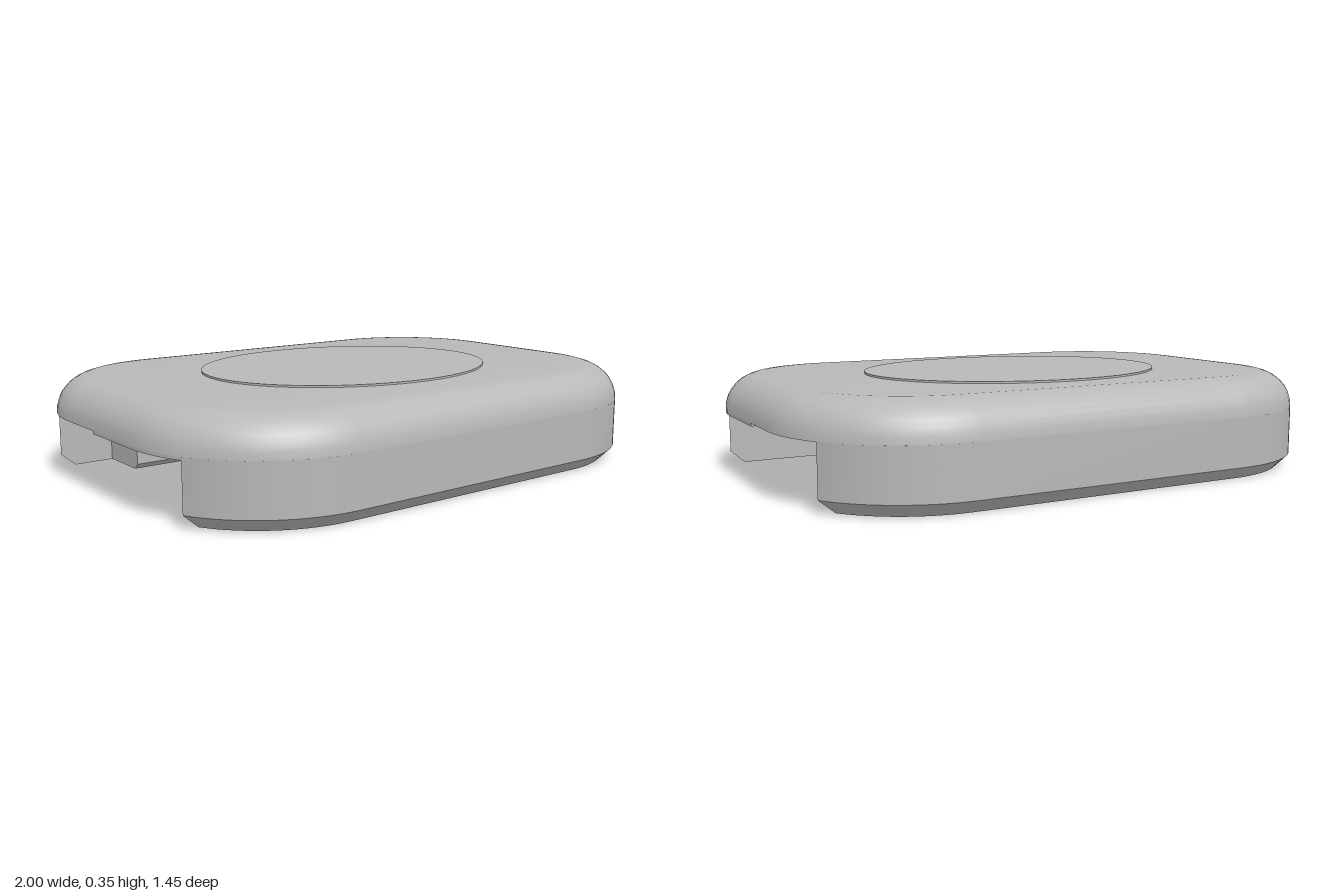
import * as THREE from 'three';
import { toCreasedNormals } from 'three/addons/utils/BufferGeometryUtils.js';

const HX = 1, HZ = 0.725, R = 0.49;   // half sizes and corner radius of the plan
const STEPS = 16;

// Arc of one plan corner, angles measured from +x towards +z
function corner(points, sx, sz, from, to, inset) {
  for (let i = 0; i <= STEPS; i++) {
    const a = from + (to - from) * i / STEPS;
    points.push([sx * (HX - R) + (R - inset) * Math.cos(a), sz * (HZ - R) + (R - inset) * Math.sin(a)]);
  }
}

// Complete rounded plan
function fullPlan(inset) {
  const p = [], q = Math.PI / 2;
  [[1, 1], [-1, 1], [-1, -1], [1, -1]].forEach(([sx, sz], k) => corner(p, sx, sz, k * q, (k + 1) * q, inset));
  return p;
}

// The share of the plan in front of z = cut
function frontPlan(cut, inset) {
  const p = [], dz = cut - (HZ - R);
  const a = dz > 0 ? Math.asin(dz / (R - inset)) : 0;
  if (dz <= 0) p.push([HX - inset, cut]);
  corner(p, 1, 1, a, Math.PI / 2, inset);
  corner(p, -1, 1, Math.PI / 2, Math.PI - a, inset);
  if (dz <= 0) p.push([-HX + inset, cut]);
  return p;
}

// Closed solid through a stack of plans, levels = [inset, y] from the bottom up
function loft(plan, levels) {
  const pos = [], index = [];
  const rings = levels.map(([inset]) => plan(inset));
  const n = rings[0].length;
  rings.forEach((ring, k) => ring.forEach(([x, z]) => pos.push(x, levels[k][1], z)));
  for (let k = 0; k < rings.length - 1; k++) {
    for (let j = 0; j < n; j++) {
      const a = k * n + j, b = k * n + (j + 1) % n;
      index.push(a, a + n, b, b, a + n, b + n);
    }
  }
  const top = (rings.length - 1) * n;
  for (let j = 1; j < n - 1; j++) {
    index.push(0, j, j + 1);
    index.push(top, top + j + 1, top + j);
  }
  const g = new THREE.BufferGeometry();
  g.setAttribute('position', new THREE.Float32BufferAttribute(pos, 3));
  g.setIndex(index);
  return toCreasedNormals(g, 0.5);
}

export function createModel() {
  const group = new THREE.Group();
  const grey = new THREE.MeshStandardMaterial({ color: 0xb8b8b8 });
  grey.name = 'grey plastic';

  function add(name, geometry) {
    const mesh = new THREE.Mesh(geometry, grey);
    mesh.name = name;
    group.add(mesh);
    return mesh;
  }
  function box(name, x0, x1, y0, y1, z0, z1) {
    add(name, new THREE.BoxGeometry(x1 - x0, y1 - y0, z1 - z0))
      .position.set((x0 + x1) / 2, (y0 + y1) / 2, (z0 + z1) / 2);
  }

  // Cover with a rounded top edge
  const fillet = 0.13, levels = [];
  for (let i = 0; i <= 8; i++) {
    const a = i / 8 * Math.PI / 2;
    levels.push([fillet * (1 - Math.cos(a)), 0.22 + (fillet - 0.003) * Math.sin(a)]);
  }
  add('cover', loft(fullPlan, levels));

  // Shallow step under the front part of the cover
  add('coverStep', loft((i) => frontPlan(-0.04, i), [[0, 0.21], [0, 0.22]]));

  // Raised oval pad on top
  const pad = new THREE.CylinderGeometry(1, 1, 0.01, 64);
  pad.scale(0.56, 1, 0.46);
  add('topPad', pad).position.y = 0.349;

  // Lips with chamfered lower edges
  const lip = [[0.045, 0], [0, 0.045], [0, 0.22]];
  add('frontLip', loft((i) => frontPlan(0.45, i), lip));
  add('backLip', loft((i) => frontPlan(0.49, i), lip)).rotation.y = Math.PI;

  // Block joining the back lip to the clip jaws
  const end = 0.73, slotEnd = 0.66, gap = 0.05;
  box('clipBase', -end, end, 0, 0.22, -0.49, -0.40);

  // Jaw section drawn with shape x = -z, extruded along x
  const section = new THREE.Shape();
  section.moveTo(0.28, 0.02);
  section.lineTo(0.30, 0);
  section.lineTo(0.36, 0);
  section.lineTo(0.36, 0.19);
  section.lineTo(0.28, 0.19);
  section.closePath();

  // Two spring jaws, split in the middle and held at their outer ends
  for (const side of [1, -1]) {
    const jaw = new THREE.ExtrudeGeometry(section, { depth: end - gap, bevelEnabled: false });
    jaw.rotateY(Math.PI / 2);
    jaw.translate(side > 0 ? gap : -end, 0, 0);
    add(side > 0 ? 'leftJaw' : 'rightJaw', jaw);
    const x0 = side > 0 ? slotEnd : -end;
    box(side > 0 ? 'leftJawAnchor' : 'rightJawAnchor', x0, x0 + end - slotEnd, 0, 0.22, -0.40, -0.36);
  }

  return group;
}
